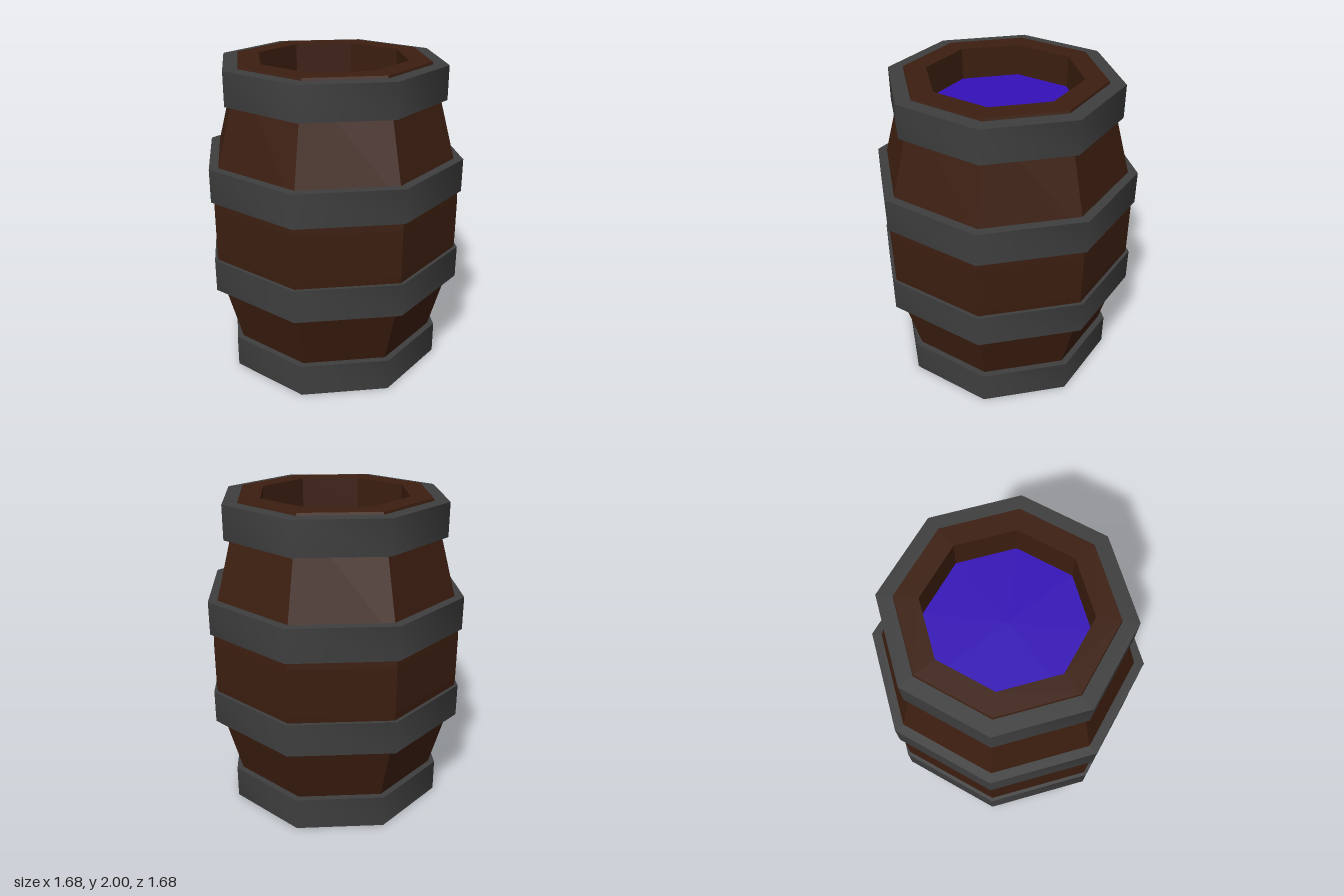
import * as THREE from 'three';
import { toCreasedNormals } from 'three/addons/utils/BufferGeometryUtils.js';

const SIDES = 8;

// Eight-sided solid of revolution from [radius, height] pairs
function turned(points) {
  return new THREE.LatheGeometry(points.map(([r, y]) => new THREE.Vector2(r, y)), SIDES);
}

export function createModel() {
  const barrel = new THREE.Group();
  barrel.name = 'barrel';

  const wood = new THREE.MeshStandardMaterial({ color: 0x3c1e10, flatShading: true });
  const iron = new THREE.MeshStandardMaterial({ color: 0x3e3e3e });
  const liquid = new THREE.MeshStandardMaterial({ color: 0x3510b8 });

  const add = (name, geometry, material) => {
    const mesh = new THREE.Mesh(geometry, material);
    mesh.name = name;
    barrel.add(mesh);
    return mesh;
  };

  // Bulging staves, with a floor, a flat rim and a recessed opening
  add('woodenBody', turned([
    [0, 0], [0.62, 0], [0.81, 0.7], [0.82, 0.86], [0.82, 1.15],
    [0.81, 1.3], [0.62, 2], [0.48, 2], [0.48, 1.8],
  ]), wood);

  // Liquid filling the opening
  const surface = add('liquidSurface', new THREE.CircleGeometry(0.48, SIDES), liquid);
  surface.rotation.x = -Math.PI / 2;
  surface.position.y = 1.8;

  // Iron hoops: smooth around, sharp at the edges
  const hoops = [
    ['bottomHoop', 0, 0.21, 0.72, 0.61],
    ['lowerMiddleHoop', 0.6, 0.81, 0.84, 0.78],
    ['upperMiddleHoop', 1.2, 1.41, 0.84, 0.78],
    ['topHoop', 1.775, 1.985, 0.72, 0.61],
  ];
  for (const [name, low, high, outer, inner] of hoops) {
    const ring = turned([[inner, low], [outer, low], [outer, high], [inner, high], [inner, low]]);
    add(name, toCreasedNormals(ring, Math.PI / 3), iron);
  }

  return barrel;
}
